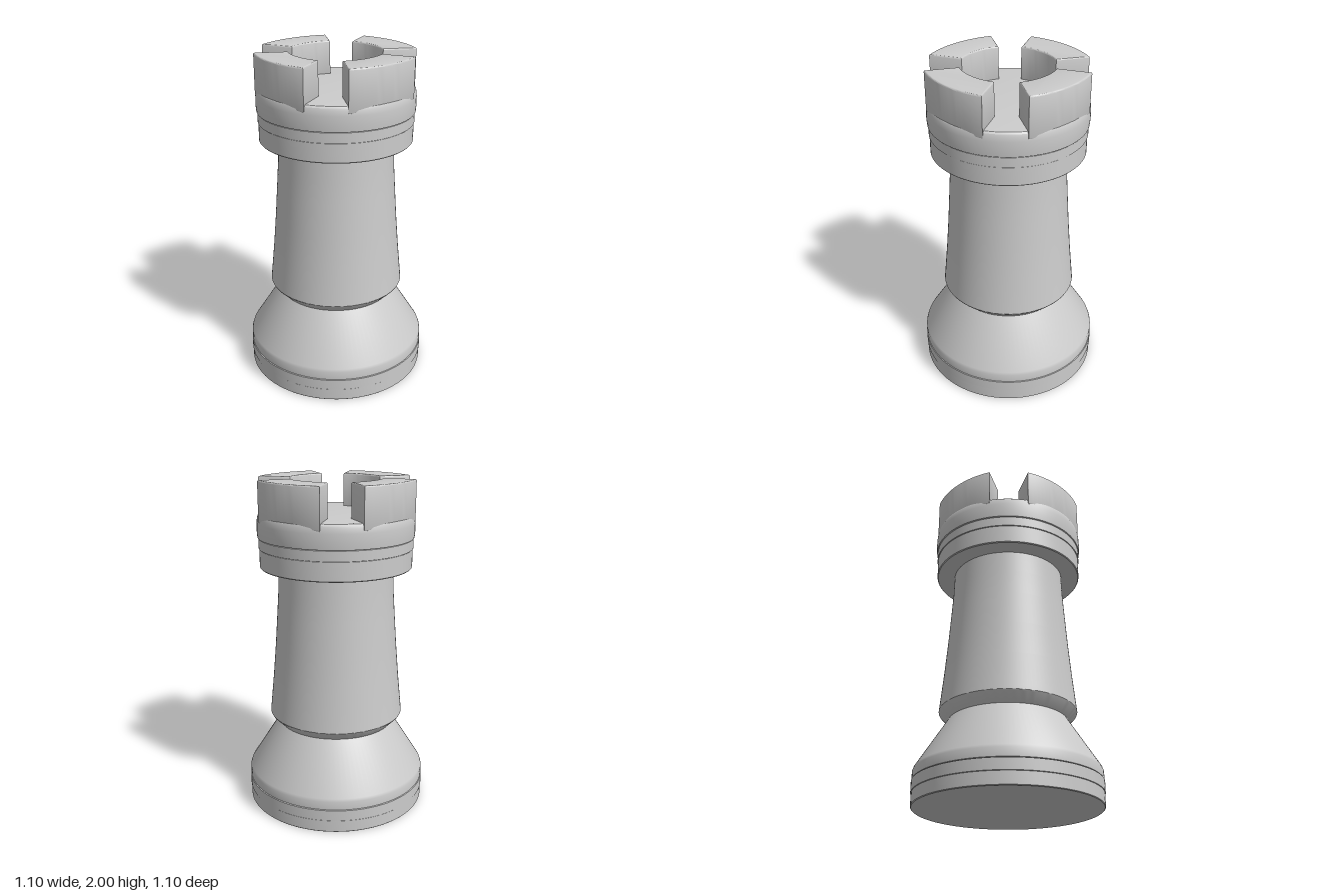
import * as THREE from 'three';
import { toCreasedNormals } from 'three/addons/utils/BufferGeometryUtils.js';

const material = new THREE.MeshStandardMaterial({ color: 0xcccccc });

function addMesh(parent, name, geometry, crease = 0.4) {
  const mesh = new THREE.Mesh(toCreasedNormals(geometry, crease), material);
  mesh.name = name;
  parent.add(mesh);
  return mesh;
}

// Turned part from [radius, height] pairs, listed bottom to top
function turned(parent, name, profile) {
  const points = profile.map(([r, y]) => new THREE.Vector2(r, y));
  return addMesh(parent, name, new THREE.LatheGeometry(points, 96));
}

// One battlement block: a ring sector of 60 degrees, slightly flatter at mid-face
function merlonGeometry() {
  const bevel = 0.008;
  const half = Math.PI / 6 - 0.012;
  const steps = 16;
  const shape = new THREE.Shape();
  const ring = (radius, from, to) => {
    for (let i = 0; i <= steps; i++) {
      const t = from + (to - from) * (i / steps);
      const r = radius(t);
      const x = r * Math.cos(t * half), y = r * Math.sin(t * half);
      if (shape.curves.length || shape.currentPoint.x) shape.lineTo(x, y);
      else shape.moveTo(x, y);
    }
  };
  ring((t) => 0.445 + 0.012 * t * t, -1, 1);
  ring((t) => 0.272 + 0.006 * t * t, 1, -1);
  shape.closePath();
  const geometry = new THREE.ExtrudeGeometry(shape, {
    depth: 0.24 - 2 * bevel, bevelEnabled: true,
    bevelSize: bevel, bevelThickness: bevel, bevelSegments: 3,
  });
  geometry.rotateX(-Math.PI / 2);
  geometry.translate(0, 1.76 + bevel, 0);
  return geometry;
}

export function createModel() {
  const model = new THREE.Group();
  model.name = 'rook';

  // Stepped foot
  turned(model, 'baseRing', [[0, 0], [0.543, 0], [0.547, 0.004], [0.547, 0.075], [0.54, 0.077]]);
  turned(model, 'baseBand', [[0.54, 0.075], [0.55, 0.078], [0.55, 0.143], [0.54, 0.146]]);
  turned(model, 'baseCone', [
    [0.54, 0.145], [0.547, 0.148], [0.547, 0.198], [0.541, 0.215], [0.355, 0.51],
  ]);

  // Flared column, curving in towards the top
  turned(model, 'column', [
    [0.355, 0.51], [0.406, 0.562], [0.41, 0.57], [0.408, 0.59], [0.387, 0.8], [0.37, 1.0],
    [0.356, 1.2], [0.346, 1.35], [0.341, 1.5],
  ]);

  // Crown with bands and a flat floor
  turned(model, 'crownRing', [
    [0.33, 1.484], [0.448, 1.484], [0.453, 1.489], [0.453, 1.597], [0.445, 1.599],
  ]);
  turned(model, 'crownBand', [[0.445, 1.597], [0.457, 1.6], [0.457, 1.658], [0.45, 1.661]]);
  turned(model, 'crownRim', [
    [0.45, 1.66], [0.462, 1.663], [0.465, 1.7], [0.464, 1.75], [0.461, 1.778],
    [0.456, 1.791], [0.446, 1.8], [0.43, 1.802], [0, 1.802],
  ]);

  // Four battlements facing the axes
  const geometry = merlonGeometry();
  for (let i = 0; i < 4; i++) {
    addMesh(model, 'battlement' + (i + 1), geometry, 0.6).rotation.y = (i * Math.PI) / 2;
  }
  return model;
}
